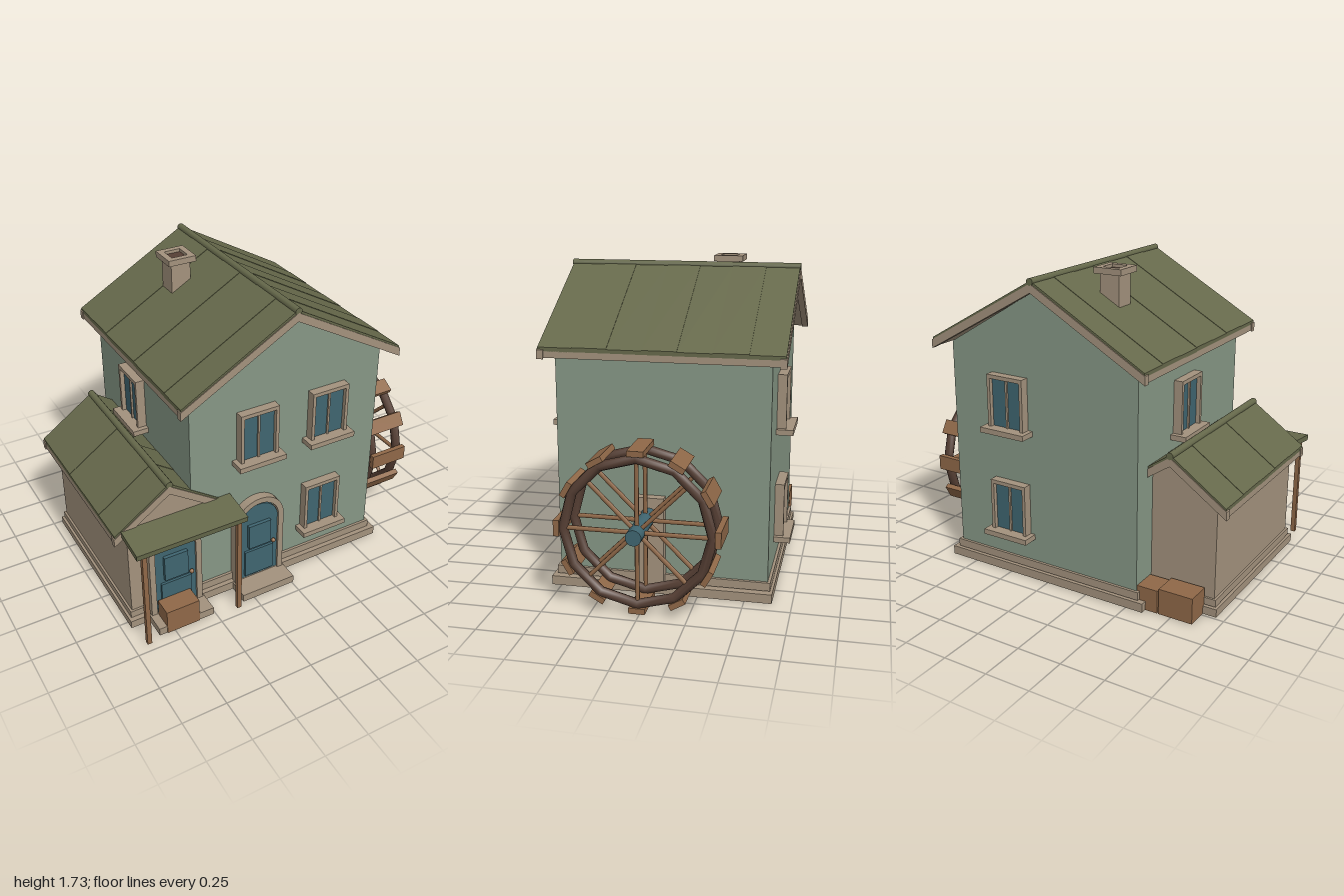
import * as THREE from 'three';

const mat = (name, color) => Object.assign(new THREE.MeshStandardMaterial({ color }), { name });
const wall = mat('sage wall', 0x869785);
const trim = mat('stone trim', 0xa3927d);
const roof = mat('olive roof', 0x66694b);
const wood = mat('warm wood', 0x8f6848);
const darkWood = mat('dark wood', 0x563f34);
const teal = mat('teal paint', 0x3f6570);

function add(parent, name, geo, material, x = 0, y = 0, z = 0) {
  const m = new THREE.Mesh(geo, material);
  m.name = name;
  m.position.set(x, y, z);
  parent.add(m);
  return m;
}

// Box given by its minimum and maximum corners
function span(parent, name, material, x0, x1, y0, y1, z0, z1) {
  return add(parent, name, new THREE.BoxGeometry(x1 - x0, y1 - y0, z1 - z0), material,
    (x0 + x1) / 2, (y0 + y1) / 2, (z0 + z1) / 2);
}

const shapeOf = pts => new THREE.Shape(pts.map(p => new THREE.Vector2(p[0], p[1])));

function extrude(parent, name, shape, material, z0, z1, curveSegments = 12) {
  const geo = new THREE.ExtrudeGeometry(shape, { depth: z1 - z0, bevelEnabled: false, curveSegments });
  return add(parent, name, geo, material, 0, 0, z0);
}

// Pitched cross-section: ridge at (cx, top), dropping to both eaves, t thick
function chevron(cx, half, top, drop, t) {
  return shapeOf([[cx - half, top - drop], [cx - half, top - drop - t], [cx, top - t],
    [cx + half, top - drop - t], [cx + half, top - drop], [cx, top]]);
}

function gableRoof(parent, name, cx, half, top, drop, z0, z1, panels) {
  const g = new THREE.Group();
  g.name = name;
  extrude(g, 'roofUnderside', chevron(cx, half, top - 0.02, drop, 0.035), trim, z0 + 0.03, z1 - 0.03);
  // bargeboards on both gable ends
  for (const z of [z0, z1 - 0.035]) {
    extrude(g, 'bargeboard', chevron(cx, half + 0.005, top - 0.014, drop, 0.048), trim, z, z + 0.035);
  }
  // overlapping roof panels, every other one slightly proud
  const step = (z1 - z0 - 0.01) / panels;
  for (let i = 0; i < panels; i++) {
    const z = z0 + 0.005 + i * step;
    extrude(g, 'roofPanel', chevron(cx, half, top + (i % 2) * 0.003, drop, 0.023), roof, z, z + step);
  }
  const ridge = add(g, 'ridgeRoll', new THREE.CylinderGeometry(0.02, 0.02, z1 - z0, 10), roof, cx, top - 0.006, (z0 + z1) / 2);
  ridge.rotation.x = Math.PI / 2;
  parent.add(g);
}

function archShape(r, y0, yc) {
  const s = new THREE.Shape();
  s.moveTo(-r, y0);
  s.lineTo(r, y0);
  s.lineTo(r, yc);
  s.absarc(0, yc, r, 0, Math.PI, false);
  s.closePath();
  return s;
}

// Arched door facing +z, with its surround and step
function door(parent, name, x) {
  const g = new THREE.Group();
  g.name = name;
  g.position.set(x, 0, 0.5);
  const s = new THREE.Shape();
  s.moveTo(0.122, 0.04);
  s.lineTo(0.155, 0.04);
  s.lineTo(0.155, 0.435);
  s.absarc(0, 0.435, 0.155, 0, Math.PI, false);
  s.lineTo(-0.155, 0.04);
  s.lineTo(-0.122, 0.04);
  s.lineTo(-0.122, 0.435);
  s.absarc(0, 0.435, 0.122, Math.PI, 0, true);
  s.closePath();
  extrude(g, 'doorSurround', s, trim, 0, 0.065);
  extrude(g, 'doorLeaf', archShape(0.123, 0.04, 0.42), teal, 0, 0.052);
  span(g, 'upperPanel', teal, -0.07, 0.07, 0.265, 0.42, 0.05, 0.072);
  span(g, 'lowerPanel', teal, -0.09, 0.09, 0.07, 0.24, 0.05, 0.066);
  add(g, 'doorKnob', new THREE.SphereGeometry(0.013, 10, 8), wood, 0.092, 0.26, 0.065);
  span(g, 'doorStep', trim, -0.165, 0.165, 0, 0.045, 0, 0.175);
  parent.add(g);
}

// Window on a wall, centred on its origin, facing the given angle
function windowAt(parent, x, y, z, angle) {
  const g = new THREE.Group();
  g.name = 'window';
  g.position.set(x, y, z);
  g.rotation.y = angle;
  const s = shapeOf([[-0.115, -0.15], [0.115, -0.15], [0.115, 0.15], [-0.115, 0.15]]);
  s.holes.push(new THREE.Path([[-0.096, -0.145], [-0.096, 0.128], [0.096, 0.128], [0.096, -0.145]]
    .map(p => new THREE.Vector2(...p))));
  extrude(g, 'windowFrame', s, trim, -0.01, 0.05);
  span(g, 'glass', teal, -0.1, 0.1, -0.148, 0.13, 0.018, 0.026);
  span(g, 'mullion', trim, -0.006, 0.006, -0.148, 0.13, 0.02, 0.036);
  span(g, 'windowSill', trim, -0.142, 0.142, -0.172, -0.142, -0.01, 0.09);
  parent.add(g);
}

function crate(parent, x, y, z, w, h, d) {
  span(parent, 'crate', wood, x - w / 2, x + w / 2, y, y + h, z - d / 2, z + d / 2);
}

// Water wheel, built around z and turned so the axle runs along x
function waterWheel(parent) {
  const g = new THREE.Group();
  g.name = 'waterWheel';
  g.position.set(0.83, 0.44, 0.01);
  g.rotation.y = Math.PI / 2;
  for (const z of [-0.09, 0.09]) {
    add(g, 'rim', new THREE.TorusGeometry(0.385, 0.027, 8, 12), darkWood, 0, 0, z);
    for (let i = 0; i < 8; i++) {
      const a = i * Math.PI / 4;
      const spoke = add(g, 'spoke', new THREE.CylinderGeometry(0.012, 0.012, 0.38, 6), wood,
        -Math.sin(a) * 0.19, Math.cos(a) * 0.19, z);
      spoke.rotation.z = a;
    }
  }
  for (let i = 0; i < 12; i++) {
    const a = i * Math.PI / 6;
    const paddle = add(g, 'paddle', new THREE.BoxGeometry(0.085, 0.03, 0.236), wood,
      -Math.sin(a) * 0.415, Math.cos(a) * 0.415, 0);
    paddle.rotation.z = a;
  }
  const axle = add(g, 'axle', new THREE.CylinderGeometry(0.042, 0.042, 0.35, 14), teal, 0, 0, -0.005);
  axle.rotation.x = Math.PI / 2;
  parent.add(g);
}

export function createModel() {
  const model = new THREE.Group();
  model.name = 'waterMill';

  // main house
  extrude(model, 'houseWalls', shapeOf([[-0.55, 0], [0.62, 0], [0.62, 1.29], [0.035, 1.642], [-0.55, 1.29]]), wall, -0.617, 0.515);
  span(model, 'foundation', trim, -0.6, 0.67, 0, 0.05, -0.645, 0.553);
  span(model, 'plinth', trim, -0.565, 0.637, 0.055, 0.1, -0.632, 0.53);
  gableRoof(model, 'mainRoof', 0.035, 0.66, 1.692, 0.375, -0.695, 0.588, 7);

  // side annex
  extrude(model, 'annexWalls', shapeOf([[-0.925, 0], [-0.54, 0], [-0.54, 0.71], [-0.675, 0.81], [-0.925, 0.625]]), trim, -0.46, 0.512);
  extrude(model, 'annexGable', shapeOf([[-0.925, 0.62], [-0.425, 0.62], [-0.675, 0.81]]), trim, 0.45, 0.518);
  span(model, 'annexFoundation', trim, -0.95, -0.55, 0, 0.045, -0.485, 0.55);
  span(model, 'annexPlinth', trim, -0.937, -0.55, 0.05, 0.09, -0.472, 0.525);
  gableRoof(model, 'annexRoof', -0.675, 0.318, 0.853, 0.22, -0.515, 0.525, 5);

  // porch
  const porch = add(model, 'porchRoof', new THREE.BoxGeometry(0.64, 0.032, 0.2), roof, -0.637, 0.628, 0.611);
  porch.rotation.x = 0.12;
  for (const x of [-0.912, -0.362]) span(model, 'porchPost', wood, x - 0.013, x + 0.013, 0, 0.61, 0.677, 0.703);

  door(model, 'annexDoor', -0.675);
  door(model, 'houseDoor', -0.155);

  // windows: front, back and left
  windowAt(model, -0.16, 1.005, 0.515, 0);
  windowAt(model, 0.28, 1.005, 0.515, 0);
  windowAt(model, 0.26, 0.4, 0.515, 0);
  windowAt(model, 0.24, 1.005, -0.617, Math.PI);
  windowAt(model, 0.24, 0.4, -0.617, Math.PI);
  windowAt(model, -0.55, 1.005, -0.13, -Math.PI / 2);

  // chimney with a capped, dark flue
  span(model, 'chimneyStack', trim, -0.265, -0.15, 1.4, 1.7, -0.33, -0.215);
  const cap = shapeOf([[-0.082, -0.082], [0.082, -0.082], [0.082, 0.082], [-0.082, 0.082]]);
  cap.holes.push(new THREE.Path([[-0.047, -0.047], [-0.047, 0.047], [0.047, 0.047], [0.047, -0.047]]
    .map(p => new THREE.Vector2(...p))));
  const capMesh = extrude(model, 'chimneyCap', cap, trim, 0, 0.033);
  capMesh.rotation.x = -Math.PI / 2;
  capMesh.position.set(-0.207, 1.692, -0.272);
  span(model, 'flue', darkWood, -0.255, -0.159, 1.7, 1.708, -0.32, -0.224);

  // wheel and its wall bearing
  span(model, 'wheelBearing', trim, 0.6, 0.67, 0, 0.535, -0.07, 0.088);
  waterWheel(model);

  // crates
  crate(model, -0.697, 0, 0.625, 0.195, 0.145, 0.11);
  crate(model, -0.775, 0, -0.54, 0.195, 0.145, 0.14);
  crate(model, -0.585, 0, -0.54, 0.17, 0.13, 0.14);
  return model;
}
